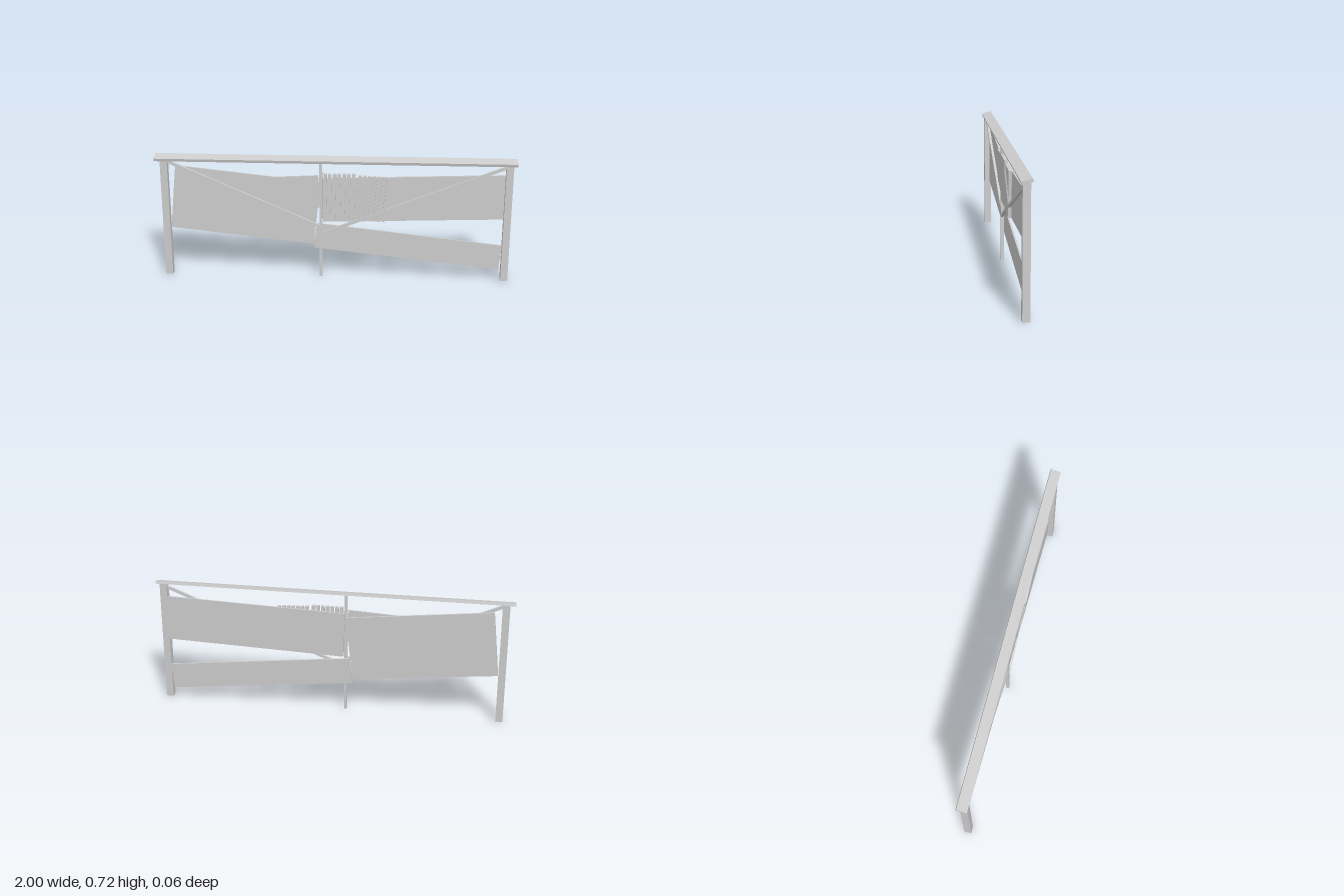
import * as THREE from 'three';

export function createModel() {
  const group = new THREE.Group();
  const material = new THREE.MeshStandardMaterial({ color: 0xcccccc, flatShading: true });

  // Straight timber whose centre line runs from (x0, y0) to (x1, y1)
  function timber(name, x0, y0, x1, y1, width, depth, z = 0) {
    const length = Math.hypot(x1 - x0, y1 - y0);
    const mesh = new THREE.Mesh(new THREE.BoxGeometry(length, width, depth), material);
    mesh.name = name;
    mesh.position.set((x0 + x1) / 2, (y0 + y1) / 2, z);
    mesh.rotation.z = Math.atan2(y1 - y0, x1 - x0);
    group.add(mesh);
    return mesh;
  }

  // Sloped top rail
  const rail = timber('topRail', -1, 0.7005, 1, 0.7005, 0.0165, 0.058);
  rail.rotation.x = THREE.MathUtils.degToRad(15.5);

  // Posts
  timber('rightPost', -0.95, 0, -0.95, 0.697, 0.04, 0.04);
  timber('leftPost', 0.96, 0, 0.96, 0.697, 0.04, 0.04);
  timber('middlePost', -0.078, 0, -0.078, 0.698, 0.016, 0.018);

  // Diagonal braces
  timber('rightBrace', -0.94, 0.683, -0.078, 0.304, 0.016, 0.014, 0.004);
  timber('leftBrace', -0.078, 0.262, 0.95, 0.676, 0.016, 0.014, 0.004);

  // Slanted boards on the back of the frame
  timber('wideBoard', -0.91, 0.4655, -0.1, 0.379, 0.372, 0.01, -0.014);
  timber('lowerBoard', -0.11, 0.2455, 0.935, 0.13, 0.149, 0.01, -0.014);
  timber('upperBoard', -0.07, 0.459, 0.945, 0.494, 0.259, 0.01, -0.014);

  // Small patch board over the wide board
  timber('patchBoard', -0.352, 0.498, -0.088, 0.513, 0.19, 0.008, -0.005);

  // Row of upright slats: first group upright, second group leaning
  const slatCount = 14;
  for (let i = 0; i < slatCount; i++) {
    const leaning = i >= 7;
    const x = -0.056 + i * 0.0262;
    const lean = leaning ? 0.014 : 0.003;
    const drop = leaning ? 0.008 + (i - 7) * 0.0012 : 0;
    timber('slat', x - lean, 0.357 - drop, x + lean, 0.62 - drop, 0.018, 0.018, 0);
  }

  return group;
}
